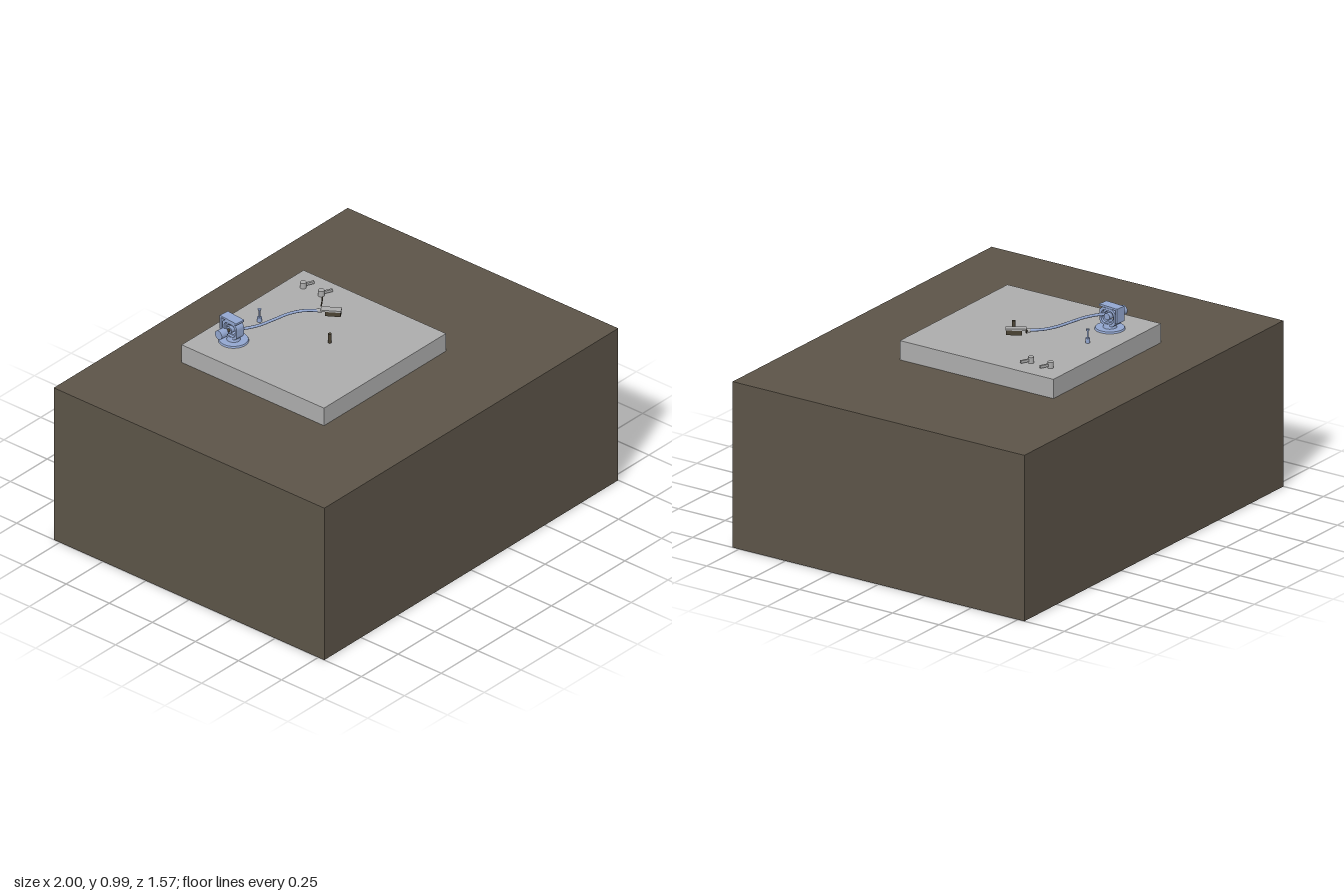
import * as THREE from 'three';

const mat = (name, color, side = THREE.FrontSide) => {
  const m = new THREE.MeshStandardMaterial({ color, side });
  m.name = name;
  return m;
};

export function createModel() {
  const model = new THREE.Group();
  model.name = 'turntableOnCabinet';
  const brown = mat('cabinetBrown', 0x5c5448, THREE.DoubleSide);
  const grey = mat('plinthGrey', 0xacacac);
  const blue = mat('armBlue', 0x93a7d0);
  const dark = mat('darkBrown', 0x4a4233);

  const add = (parent, name, geo, material, x = 0, y = 0, z = 0) => {
    const m = new THREE.Mesh(geo, material);
    m.name = name;
    m.position.set(x, y, z);
    parent.add(m);
    return m;
  };
  const group = (name, x, y, z, yaw = 0) => {
    const g = new THREE.Group();
    g.name = name;
    g.position.set(x, y, z);
    g.rotation.y = yaw;
    model.add(g);
    return g;
  };
  const box = (w, h, d) => new THREE.BoxGeometry(w, h, d);
  const cyl = (r1, r2, h, n = 24) => new THREE.CylinderGeometry(r1, r2, h, n);
  const alongX = (geo) => geo.rotateZ(-Math.PI / 2);

  // Rounded rectangle outline, used for the gimbal frames
  const roundRect = (Type, w, h, r) => {
    const s = new Type();
    s.moveTo(-w / 2 + r, -h / 2);
    s.lineTo(w / 2 - r, -h / 2);
    s.absarc(w / 2 - r, -h / 2 + r, r, -Math.PI / 2, 0, false);
    s.absarc(w / 2 - r, h / 2 - r, r, 0, Math.PI / 2, false);
    s.absarc(-w / 2 + r, h / 2 - r, r, Math.PI / 2, Math.PI, false);
    s.absarc(-w / 2 + r, -h / 2 + r, r, Math.PI, Math.PI * 1.5, false);
    return s;
  };
  // Upright frame facing along x
  const frame = (w, h, r, wall, depth) => {
    const s = roundRect(THREE.Shape, w, h, r);
    s.holes.push(roundRect(THREE.Path, w - 2 * wall, h - 2 * wall, r - wall * 0.6));
    return new THREE.ExtrudeGeometry(s, { depth, bevelEnabled: false, curveSegments: 6 })
      .translate(0, 0, -depth / 2).rotateY(Math.PI / 2);
  };

  // Cabinet: four walls and a top, open underneath
  const shell = box(2, 0.786, 1.57);
  const kept = [];
  shell.groups.forEach((g, i) => {
    if (i !== 3) for (let k = 0; k < g.count; k++) kept.push(shell.index.getX(g.start + k));
  });
  shell.setIndex(kept);
  shell.clearGroups();
  add(model, 'cabinet', shell, brown, 0, 0.393, 0);

  // Plinth, its underside just below the cabinet top
  add(model, 'plinth', box(0.83, 0.093, 0.826), grey, -0.055, 0.8305, -0.082);

  // Platter spindle
  add(model, 'spindle', cyl(0.008, 0.008, 0.046, 16), dark, -0.03, 0.9, -0.01);

  // Arm rest post with a cradle
  const rest = group('armRest', -0.095, 0.877, -0.363);
  add(rest, 'restFoot', cyl(0.011, 0.011, 0.022, 16), blue, 0, 0.011, 0);
  add(rest, 'restPost', cyl(0.004, 0.004, 0.04, 12), blue, 0, 0.04, 0);
  add(rest, 'restCradle', cyl(0.009, 0.006, 0.008, 16), blue, 0, 0.06, 0);

  // Control knobs with levers
  for (const z of [-0.402, -0.297]) {
    const knob = group('controlKnob', 0.248, 0.877, z, -0.42);
    add(knob, 'knob', cyl(0.014, 0.014, 0.028), grey, 0, 0.014, 0);
    add(knob, 'lever', box(0.048, 0.012, 0.01), grey, 0.03, 0.014, 0);
  }

  // Tonearm base
  const base = group('armBase', -0.292, 0.877, -0.345);
  add(base, 'basePlate', cyl(0.065, 0.068, 0.008, 40), blue, 0, 0.004, 0);
  add(base, 'baseCollar', cyl(0.025, 0.032, 0.022, 32), blue, 0, 0.017, 0);

  // Gimbal housing, pivot and counterweight
  const pivot = group('armPivot', -0.292, 0.94, -0.348, -0.1);
  add(pivot, 'outerFrame', frame(0.092, 0.082, 0.026, 0.011, 0.044), blue, 0, -0.002, 0);
  add(pivot, 'innerFrame', frame(0.064, 0.054, 0.018, 0.007, 0.026), blue, 0, -0.002, 0);
  add(pivot, 'pivotBlock', alongX(cyl(0.016, 0.016, 0.05)), blue);
  add(pivot, 'bracketTop', box(0.05, 0.009, 0.1), blue, 0, 0.046, -0.006);
  add(pivot, 'bracketBack', box(0.05, 0.07, 0.009), blue, 0, 0.0155, -0.055);
  add(pivot, 'topBearing', cyl(0.009, 0.009, 0.012, 16), blue, 0, 0.042, 0);
  add(pivot, 'counterweightRod', alongX(cyl(0.008, 0.008, 0.04, 16)), dark, -0.035, 0, 0);
  add(pivot, 'counterweight', alongX(cyl(0.022, 0.022, 0.036, 32)), blue, -0.072, 0, 0);
  add(pivot, 'counterweightCap', alongX(cyl(0.017, 0.019, 0.01, 32)), blue, -0.05, 0, 0);

  // S-shaped arm tube
  const armPath = new THREE.CatmullRomCurve3([
    [-0.292, 0.942, -0.335], [-0.262, 0.942, -0.303], [-0.2, 0.942, -0.272],
    [-0.12, 0.942, -0.254], [-0.04, 0.942, -0.236], [0.02, 0.941, -0.205], [0.07, 0.94, -0.15],
  ].map((p) => new THREE.Vector3(...p)));
  add(model, 'armTube', new THREE.TubeGeometry(armPath, 60, 0.0065, 12), blue);

  // Headshell with cartridge and finger lift
  const head = group('headshell', 0.064, 0.94, -0.161, -1.0);
  add(head, 'headCollar', alongX(cyl(0.009, 0.009, 0.024, 20)), grey, 0.008, 0, 0);
  add(head, 'headPlate', box(0.092, 0.008, 0.034), grey, 0.06, 0.008, 0);
  add(head, 'cartridge', box(0.07, 0.022, 0.031), dark, 0.069, -0.007, 0);
  const liftPath = new THREE.CatmullRomCurve3([
    new THREE.Vector3(0.085, 0.948, -0.16), new THREE.Vector3(0.115, 0.949, -0.18),
    new THREE.Vector3(0.142, 0.957, -0.2),
  ]);
  add(model, 'fingerLift', new THREE.TubeGeometry(liftPath, 12, 0.003, 8), dark);

  return model;
}
